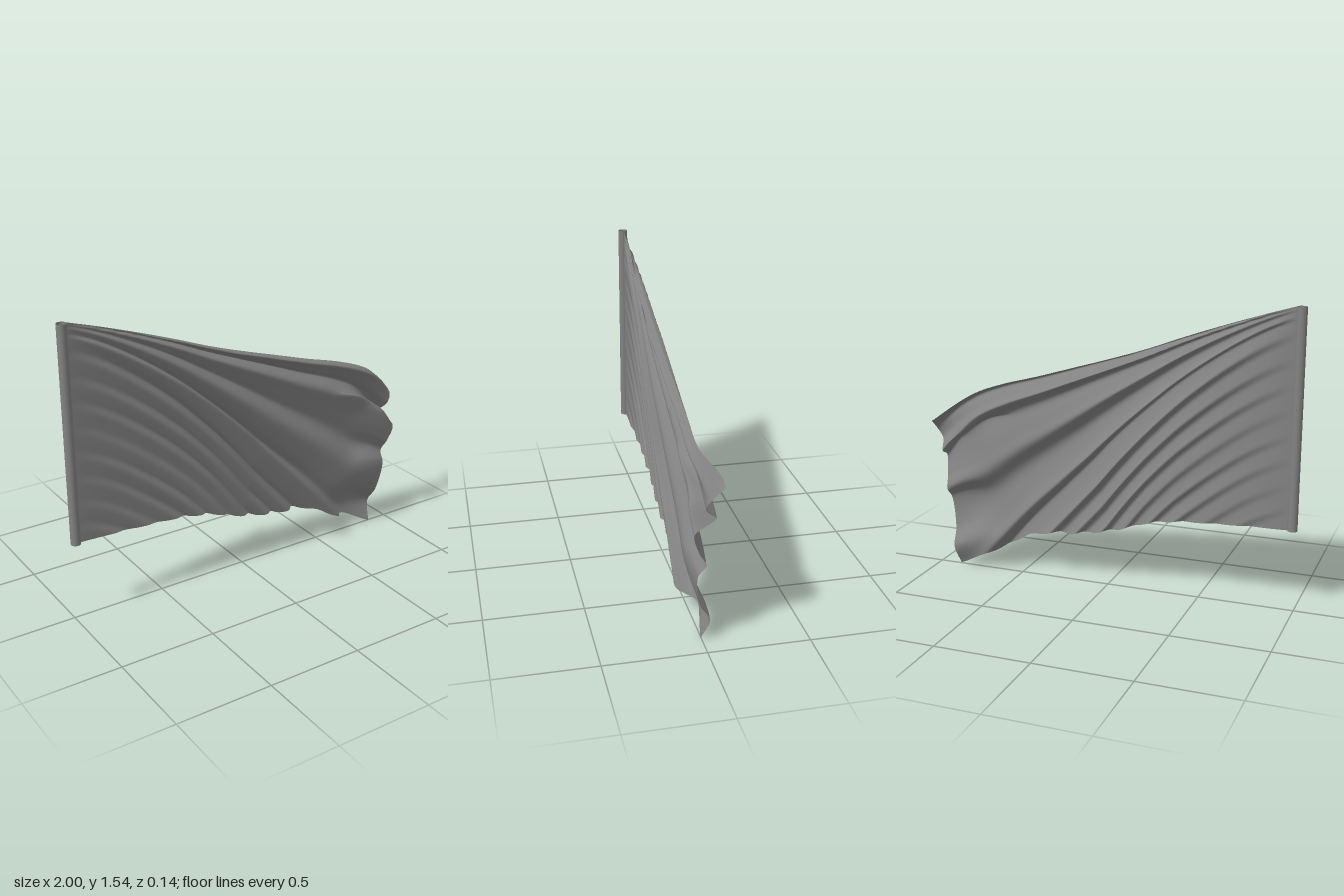
import * as THREE from 'three';

const { smoothstep } = THREE.MathUtils;
const spline = pts => new THREE.CatmullRomCurve3(pts.map(([x, y, z = 0]) => new THREE.Vector3(x, y, z)));

// Outline of the hanging cloth
const topEdge = spline([[-0.95, 1.54], [-0.8, 1.495], [-0.6, 1.43], [-0.4, 1.36], [-0.2, 1.285], [0, 1.22],
  [0.2, 1.16], [0.4, 1.1], [0.6, 1.045], [0.75, 0.99], [0.86, 0.925], [0.99, 0.83]]);
const bottomEdge = spline([[-0.95, 0.42], [-0.75, 0.415], [-0.55, 0.405], [-0.35, 0.39], [-0.2, 0.36], [-0.1, 0.325],
  [0, 0.295], [0.2, 0.255], [0.42, 0.225], [0.57, 0.11], [0.72, 0.075], [0.88, 0]]);
// Free end, rippling in depth from the top corner to the bottom corner
const flyEdge = spline([[0.99, 0.83, -0.07], [0.995, 0.77, 0], [0.97, 0.72, 0.01], [0.945, 0.65, -0.05],
  [0.975, 0.605, 0.06], [0.962, 0.5, 0.035], [0.95, 0.43, 0], [0.94, 0.37, 0.035], [0.912, 0.2, 0.015],
  [0.9, 0.11, -0.035], [0.88, 0, 0.005]]);
const flyPoint = v => flyEdge.getPoint(v ** 0.85);

const fanAt = t => 1 - Math.exp(-t / 0.035);

// Height below the top of the hoist at which the fold through a point begins:
// folds fan out of the top corner and steepen towards the lower hem
function foldStart(w, drop) {
  let lo = 0, hi = 1.6;
  for (let i = 0; i < 26; i++) {
    const t = (lo + hi) / 2;
    if (t + 0.49 * w ** 1.5 * fanAt(t) < drop) lo = t; else hi = t;
  }
  return lo;
}

// Cloth with diagonal folds that lean over their neighbours
function drape(u, v) {
  const a = topEdge.getPoint(u), b = bottomEdge.getPoint(u);
  const p = a.clone().lerp(b, v);
  const w = Math.max(0, p.x + 0.95);
  const t = foldStart(w, a.y - p.y);
  const fan = fanAt(t);
  const phase = 2 * Math.PI * (t / 0.125 + 1.7 * fan + 1.1 * (1 - Math.exp(-fan / 0.14)));
  const grow = Math.min(1, w / 0.9);
  const amp = 0.04 * grow ** 0.85 * (0.4 + 0.6 * Math.exp(-((t / 0.22) ** 2)))
    * (0.82 + 0.18 * Math.sin(phase * 0.37 + 1));
  const lean = 0.3 * amp * Math.cos(phase) * Math.min(1, v * 12);
  p.x += lean * 0.6;
  p.y += lean * 0.8;
  p.z = 0.014 + 0.006 * grow + amp * Math.sin(phase + 0.45 * Math.sin(phase));
  // One deep crease rolling over from the top corner to the lower hem
  const s = (t - 0.075) / 0.011;
  const roll = 0.024 * grow * Math.exp(-s * s);
  p.x += roll;
  p.y += roll;
  p.z += roll * 0.5;
  return p;
}

function clothPoint(u, v) {
  const p = drape(u, v);
  // Pull the last stretch towards the rippled free end
  const k = smoothstep(u, 0.74, 1);
  if (k > 0) {
    const e = Math.min(1, v + (1 - u) * 0.5 * (1 - v));
    p.addScaledVector(flyPoint(e).sub(drape(1, e)), k * k);
  }
  // Pocket below the top corner, its lower lip lapping over the cloth above
  const c = p.x - 0.55;
  const d = (p.y - (0.85 - 0.25 * c - 0.8 * c * c)) / 0.035;
  const lip = Math.exp(-d * d) * smoothstep(p.x, 0.48, 0.75) * (1 - smoothstep(p.x, 0.88, 0.99));
  p.y += 0.045 * lip;
  p.z += 0.018 * lip;
  return p;
}

function clothGeometry(nu, nv) {
  const geo = new THREE.PlaneGeometry(1, 1, nu, nv);
  const pos = geo.attributes.position;
  for (let j = 0, n = 0; j <= nv; j++) {
    for (let i = 0; i <= nu; i++, n++) {
      const p = clothPoint(i / nu, j / nv);
      pos.setXYZ(n, p.x, Math.max(0, p.y), p.z);
    }
  }
  geo.computeVertexNormals();
  return geo;
}

export function createModel() {
  const group = new THREE.Group();
  group.name = 'flag';
  const material = new THREE.MeshStandardMaterial({ color: 0x828282, side: THREE.DoubleSide });

  // Hollow sleeve along the hoist
  const sleeve = new THREE.Mesh(new THREE.CylinderGeometry(0.025, 0.025, 1.12, 32, 1, true), material);
  sleeve.name = 'poleSleeve';
  sleeve.position.set(-0.975, 0.98, 0.015);
  group.add(sleeve);

  const cloth = new THREE.Mesh(clothGeometry(200, 220), material);
  cloth.name = 'cloth';
  group.add(cloth);
  return group;
}
